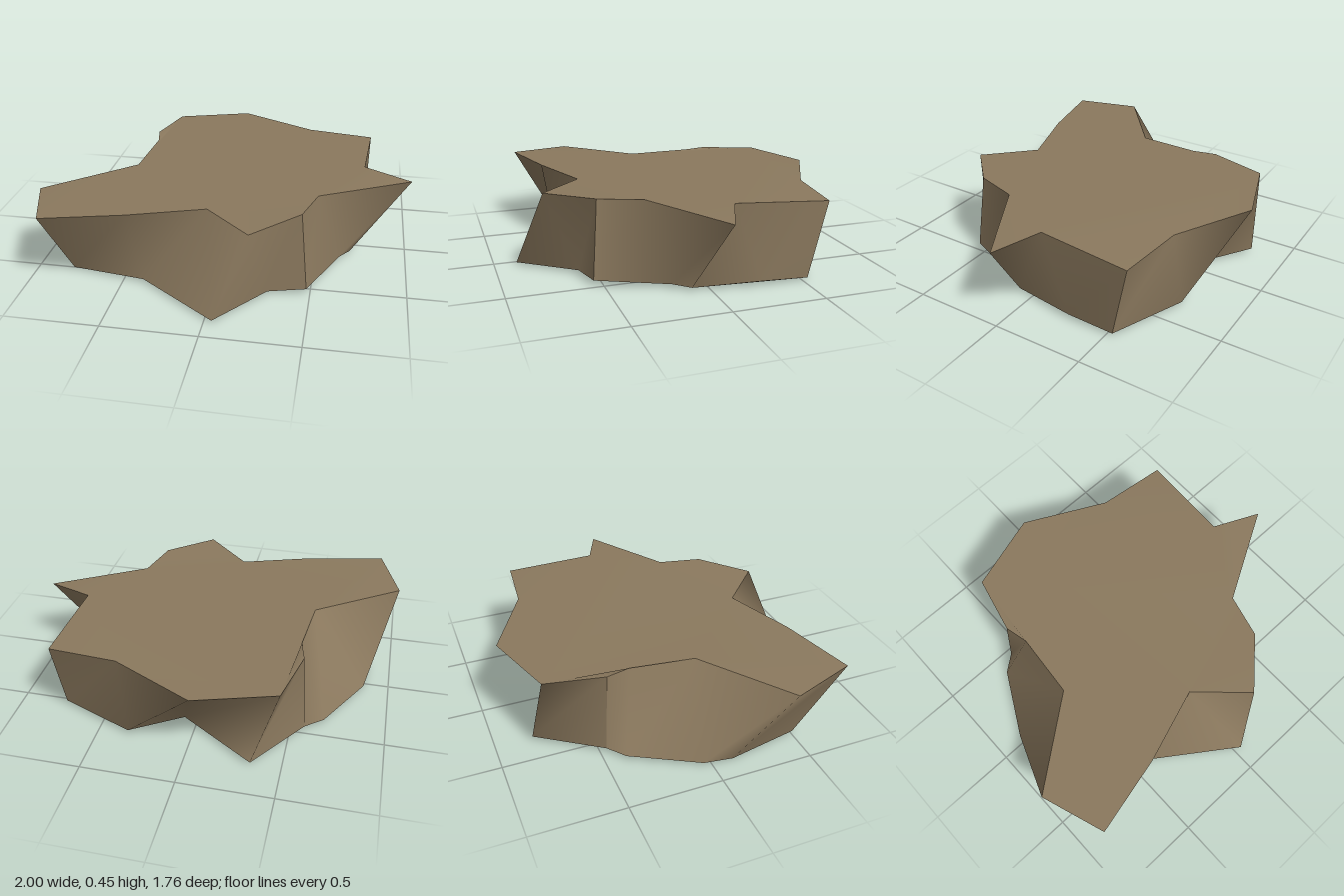
import * as THREE from 'three';

// Rim and base outlines: [top x, y, z, bottom x, y, z], counterclockwise from above.
const RIM = [
  [0.77, 0.43, -0.62, 0.75, 0.015, -0.53],
  [0.39, 0.44, -0.66, 0.34, 0.02, -0.70],
  [-0.05, 0.44, -0.885, 0.07, 0.02, -0.53],
  [-0.47, 0.44, -0.755, -0.34, 0.02, -0.80],
  [-0.545, 0.45, -0.44, -0.575, 0.02, -0.465],
  [-0.515, 0.45, -0.31, -0.67, 0.02, -0.39],
  [-0.545, 0.44, 0.04, -0.86, 0.015, -0.04],
  [-1.0, 0.42, 0.39, -0.87, 0.003, 0.12],
  [-0.88, 0.43, 0.74, -0.80, 0.01, 0.51],
  [-0.45, 0.435, 0.64, -0.39, 0.02, 0.58],
  [-0.05, 0.435, 0.505, 0.04, 0.015, 0.88],
  [0.20, 0.44, 0.745, 0.28, 0.02, 0.585],
  [0.44, 0.453, 0.515, 0.48, 0.033, 0.55],
  [0.505, 0.445, 0.28, 0.635, 0.025, 0.18],
  [1.0, 0.435, 0.0, 0.69, 0.015, 0.09],
  [0.74, 0.455, -0.11, 0.755, 0.03, -0.27],
];

function build(points, index) {
  const g = new THREE.BufferGeometry();
  g.setAttribute('position', new THREE.Float32BufferAttribute(points.flat(), 3));
  g.setIndex(index);
  g.computeVertexNormals();
  return g;
}

// One smooth wall of four panels starting at rim point "start".
function wall(start) {
  const points = [];
  const index = [];
  for (let i = 0; i <= 4; i++) {
    const p = RIM[(start + i) % RIM.length];
    points.push(p.slice(3), p.slice(0, 3));
    if (i < 4) {
      const b = i * 2;
      index.push(b, b + 2, b + 3, b, b + 3, b + 1);
    }
  }
  return build(points, index);
}

// Cap filling the upper or lower outline.
function cap(offset, flip) {
  const points = RIM.map((p) => p.slice(offset, offset + 3));
  const contour = points.map((p) => new THREE.Vector2(p[0], -p[2]));
  const faces = THREE.ShapeUtils.triangulateShape(contour, []);
  return build(points, faces.flatMap(([a, b, c]) => (flip ? [a, c, b] : [a, b, c])));
}

export function createModel() {
  const model = new THREE.Group();
  model.name = 'rockSlab';
  const stone = new THREE.MeshStandardMaterial({ color: 0x8b795e });
  stone.name = 'brown stone';

  const add = (name, geometry) => {
    const mesh = new THREE.Mesh(geometry, stone);
    mesh.name = name;
    model.add(mesh);
  };

  // Four side walls, with hard corners between them
  ['backWall', 'rightWall', 'frontWall', 'leftWall'].forEach((name, i) => add(name, wall(i * 4)));
  // Top surface and underside
  add('topSurface', cap(0, false));
  add('underside', cap(3, true));
  return model;
}
